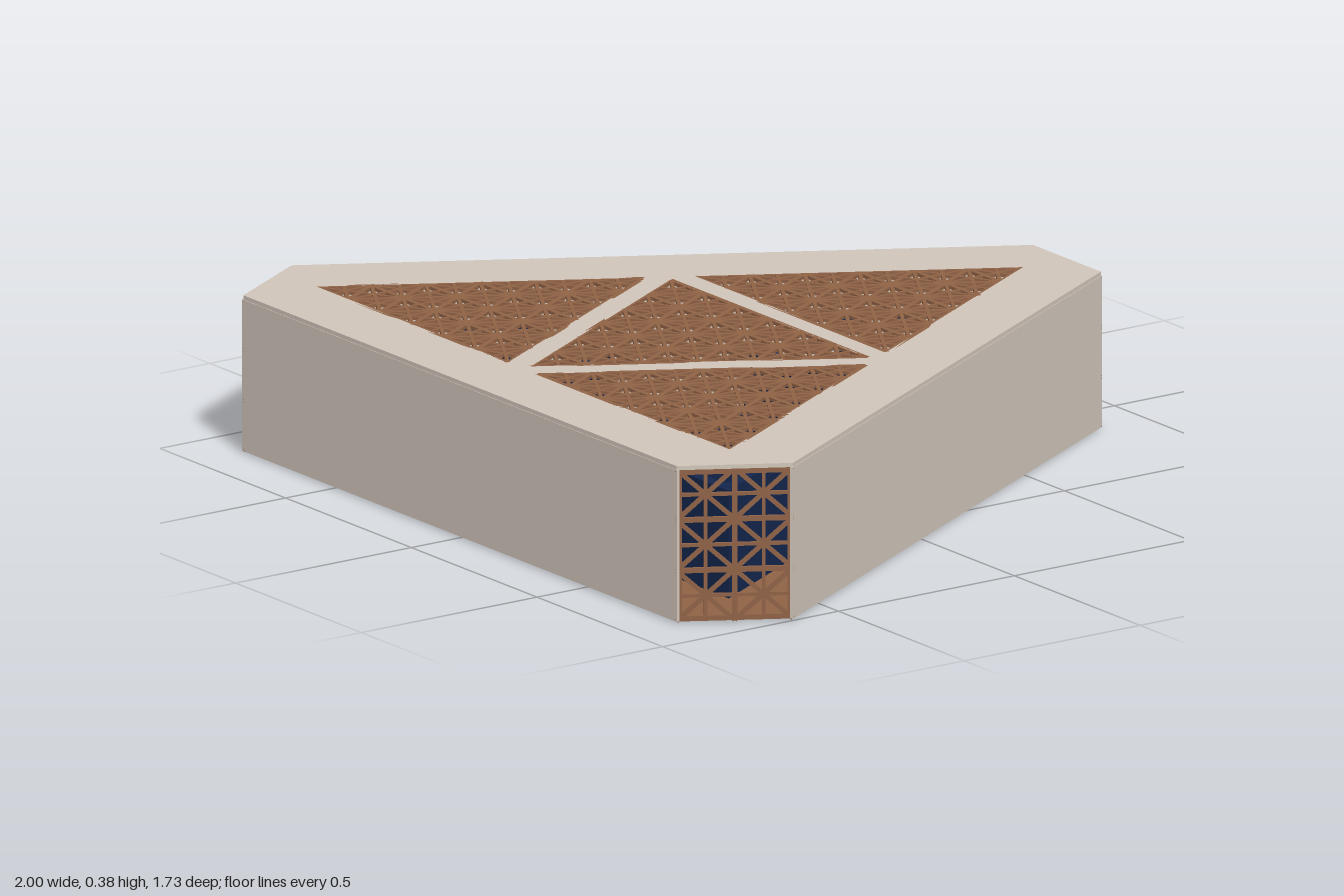
import * as THREE from 'three';
import { mergeGeometries } from 'three/addons/utils/BufferGeometryUtils.js';

const HEIGHT = 0.375, SKIN = 0.01;
const TURN = Math.PI * 2 / 3;

const mat = (name, color) => {
  const m = new THREE.MeshStandardMaterial({ color });
  m.name = name;
  return m;
};

// Plan coordinates are [x, v], where v points to the back (-z).
const spin = ([x, v], a) => [x * Math.cos(a) - v * Math.sin(a), x * Math.sin(a) + v * Math.cos(a)];
const triangle = (r, centre = [0, 0], a = 0) => [0, 1, 2].map(k => {
  const p = spin([0, r], a - k * TURN);
  return [p[0] + centre[0], p[1] + centre[1]];
});
const toVec = pts => pts.map(p => new THREE.Vector2(...p));

// Horizontal plate with holes
function slab(outline, holes, depth, y) {
  const shape = new THREE.Shape(toVec(outline));
  holes.forEach(h => shape.holes.push(new THREE.Path(toVec(h))));
  return new THREE.ExtrudeGeometry(shape, { depth, bevelEnabled: false })
    .rotateX(-Math.PI / 2).translate(0, y, 0);
}

// Thin strip between two points in the xy plane
function bar(a, b, width) {
  const dx = b[0] - a[0], dy = b[1] - a[1];
  return new THREE.BoxGeometry(Math.hypot(dx, dy), width, 0.008)
    .rotateZ(Math.atan2(dy, dx))
    .translate((a[0] + b[0]) / 2, (a[1] + b[1]) / 2, 0);
}

// Triangular grid with the medians of every small triangle
function triangleLattice(corners, n) {
  const [A, B, C] = corners, bars = [];
  const at = (i, j) => [0, 1].map(k => A[k] + (B[k] - A[k]) * i / n + (C[k] - A[k]) * j / n);
  const mid = (p, q) => [(p[0] + q[0]) / 2, (p[1] + q[1]) / 2];
  const fill = (t, edges) => t.forEach((p, k) => {
    const q = t[(k + 1) % 3], r = t[(k + 2) % 3];
    if (edges) bars.push(bar(p, q, 0.013));
    bars.push(bar(p, mid(q, r), 0.009));
  });
  for (let i = 0; i < n; i++) for (let j = 0; i + j < n; j++) {
    fill([at(i, j), at(i + 1, j), at(i, j + 1)], true);
    if (i + j < n - 1) fill([at(i + 1, j), at(i + 1, j + 1), at(i, j + 1)], false);
  }
  return mergeGeometries(bars).rotateX(-Math.PI / 2).translate(0, HEIGHT - 0.004, 0);
}

// Upright square grid with crossed diagonals
function squareLattice(width, height, cols, rows) {
  const bars = [], w = width / cols, h = height / rows;
  for (let c = 0; c <= cols * 2; c++) {
    const x = Math.min(Math.max(c * w / 2, 0.006), width - 0.006);
    bars.push(bar([x, 0], [x, height], c % 2 ? 0.008 : 0.012));
  }
  for (let r = 0; r <= rows * 2; r++) {
    const y = Math.min(Math.max(r * h / 2, 0.006), height - 0.006);
    bars.push(bar([0, y], [width, y], r % 2 ? 0.008 : 0.012));
  }
  for (let c = 0; c < cols; c++) for (let r = 0; r < rows; r++) {
    bars.push(bar([c * w, r * h], [(c + 1) * w, (r + 1) * h], 0.01));
    bars.push(bar([c * w, (r + 1) * h], [(c + 1) * w, r * h], 0.01));
  }
  return mergeGeometries(bars).translate(-width / 2, 0, 0);
}

export function createModel() {
  const model = new THREE.Group();
  model.name = 'triangularHall';
  const beige = mat('beige plaster', 0xcfc4b9);
  const brown = mat('brown timber', 0x8f6246);
  const navy = mat('navy panel', 0x14264d);

  const hall = new THREE.Group();
  hall.name = 'hall';
  hall.position.z = 0.208;
  model.add(hall);
  const add = (parent, name, geometry, material) => {
    const mesh = new THREE.Mesh(geometry, material);
    mesh.name = name;
    parent.add(mesh);
    return mesh;
  };

  // Plan: triangle with cut corners, three corner skylights and one in the middle
  const outline = [0, 1, 2].flatMap(k => [[-0.135, 1.073], [0.135, 1.073]].map(p => spin(p, -k * TURN)));
  const cornerCell = triangle(0.44, [0, 0.508]);
  const cells = [0, 1, 2].map(k => cornerCell.map(p => spin(p, k * TURN)));
  cells.push(triangle(0.452, [0, 0], Math.PI));

  add(hall, 'floor', slab(outline, [], SKIN, 0), brown);
  add(hall, 'roofFrame', slab(outline, cells, SKIN, HEIGHT - SKIN), beige);
  cells.forEach(c => add(hall, 'skylightLattice', triangleLattice(c, 6), brown));

  // Large inner ring of panels
  add(hall, 'innerRing', slab(triangle(0.93), [triangle(0.87)], 0.265, 0.005), navy);

  for (let k = 0; k < 3; k++) {
    const side = new THREE.Group();
    side.name = 'side';
    side.rotation.y = k * TURN;
    hall.add(side);
    // Long outer wall
    add(side, 'outerWall', new THREE.BoxGeometry(1.73, HEIGHT - SKIN, SKIN)
      .translate(0, (HEIGHT - SKIN) / 2, 0.655 - SKIN / 2), beige);
    // Open lattice across the cut corner
    add(side, 'cornerLattice', squareLattice(0.27, HEIGHT - SKIN, 2, 3)
      .translate(0, 0, -1.069), brown);
    // Small triangular shaft below the skylight
    add(side, 'shaft', slab(triangle(0.167, [0, 0.341]), [triangle(0.107, [0, 0.341])], 0.265, 0.005), navy);
  }
  return model;
}
